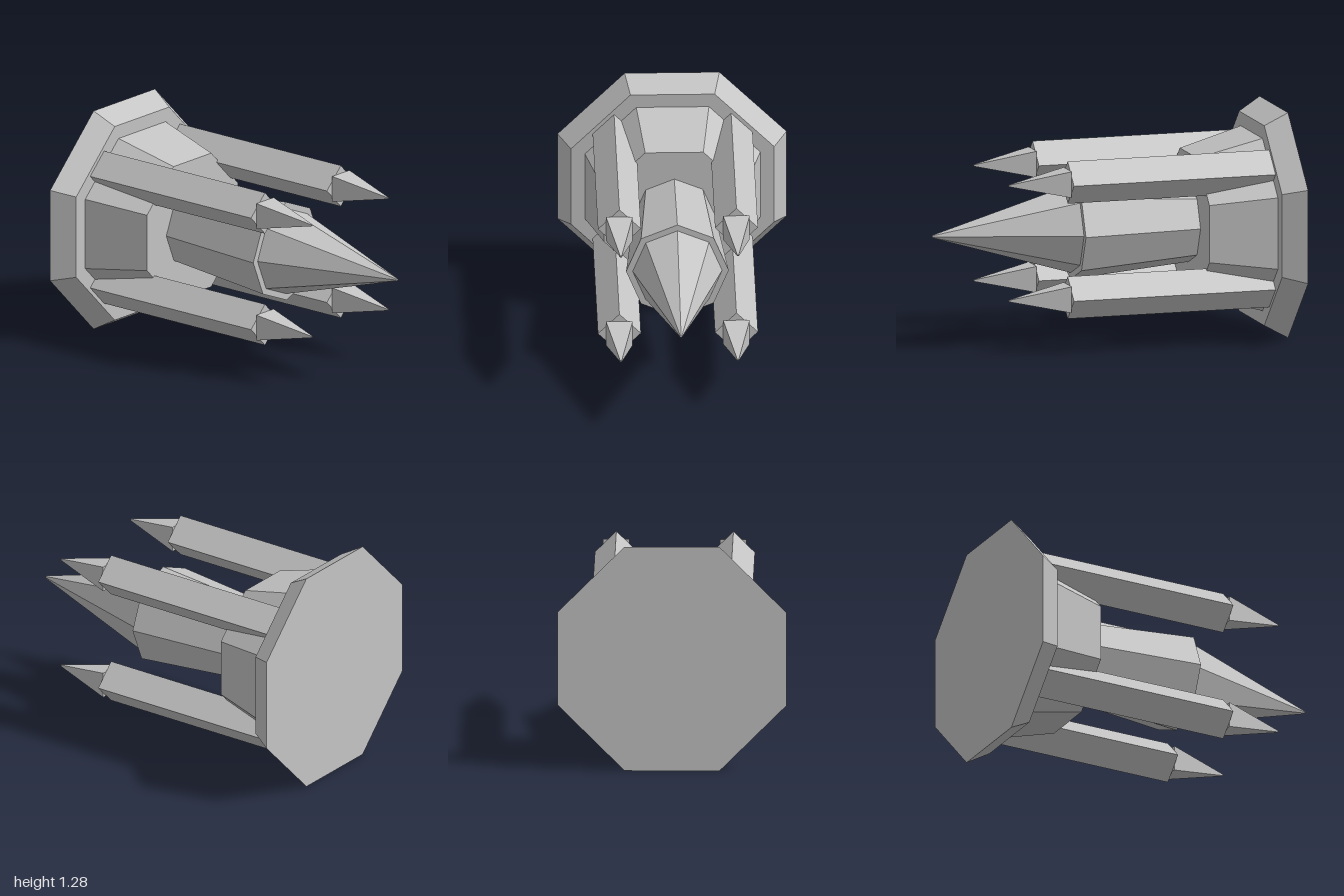
import * as THREE from 'three';

const CENTER_Y = 0.64;

export function createModel() {
  const model = new THREE.Group();
  model.name = 'spikedThruster';
  const grey = new THREE.MeshStandardMaterial({ color: 0xc4c4c4, flatShading: true });
  grey.name = 'light grey';

  // Faceted frustum along z, from the back (zBack) to the front (zFront)
  function frustum(name, rBack, rFront, zBack, zFront, sides, turn, x = 0, y = 0) {
    const geometry = new THREE.CylinderGeometry(rFront, rBack, zFront - zBack, sides, 1, false, turn);
    geometry.rotateX(Math.PI / 2);
    const mesh = new THREE.Mesh(geometry, grey);
    mesh.name = name;
    mesh.position.set(x, CENTER_Y + y, (zBack + zFront) / 2);
    model.add(mesh);
  }

  // Octagons with flat tops: sizes given as half width across flats
  const flat = Math.PI / 8;
  const across = (h) => h / Math.cos(flat);
  frustum('basePlate', across(0.64), across(0.568), -1, -0.87, 8, flat);
  frustum('collar', across(0.49), across(0.392), -0.87, -0.5, 8, flat);

  // Central body and spike, with corners up
  frustum('centralBody', 0.226, 0.287, -0.5, 0.19, 8, 0);
  frustum('centralSpike', 0.25, 0.008, 0.19, 1, 8, 0);

  // Four diamond rods, each with a square spike
  for (const sx of [-1, 1]) {
    for (const sy of [-1, 1]) {
      const x = sx * 0.327, y = sy * 0.327;
      frustum('rod', 0.12, 0.12, -0.87, 0.31, 4, 0, x, y);
      frustum('rodSpike', 0.105, 0.006, 0.31, 0.655, 4, Math.PI / 4, x, y);
    }
  }
  return model;
}
